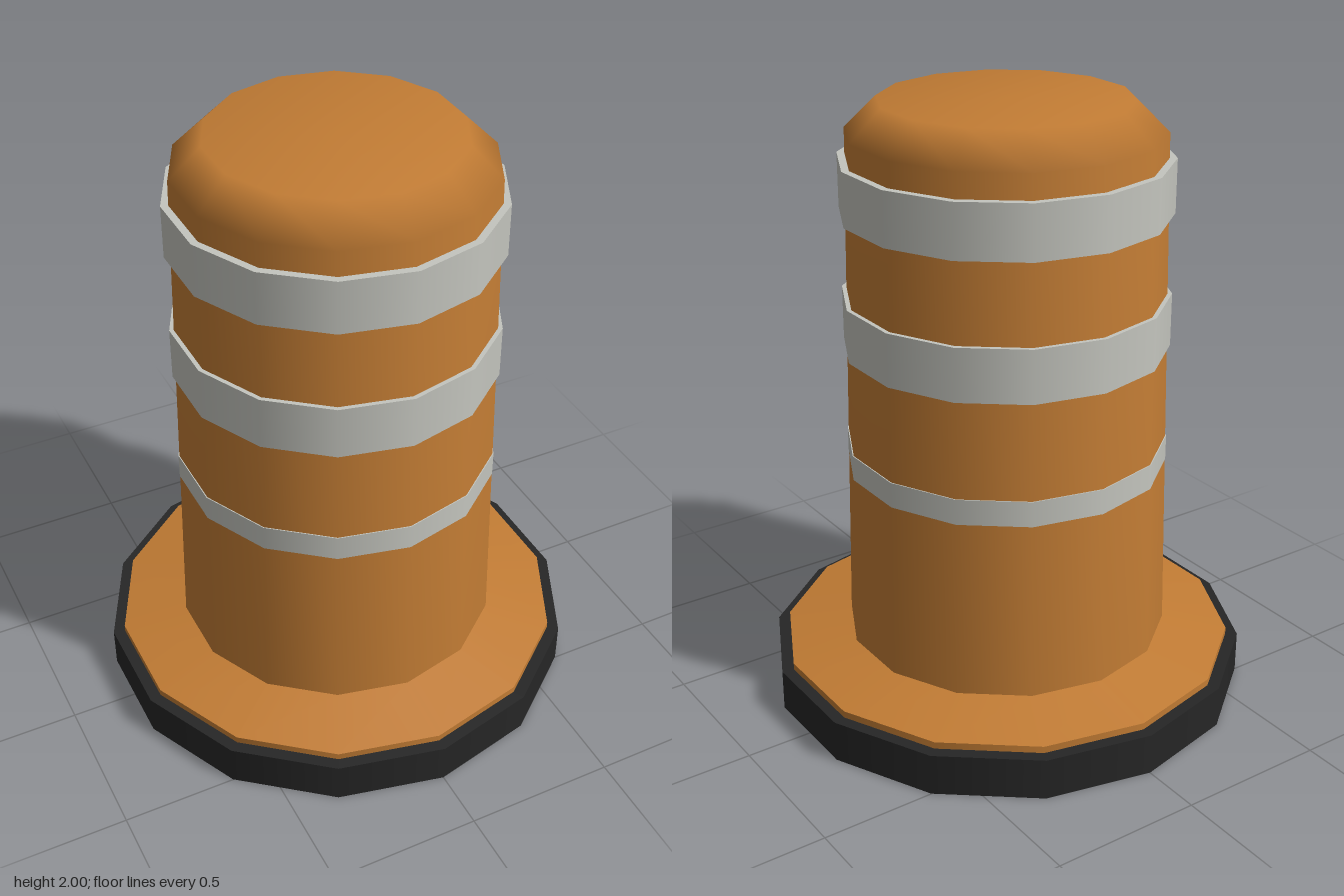
import * as THREE from 'three';

const SIDES = 14;

export function createModel() {
  const group = new THREE.Group();
  group.name = 'trafficBarrel';

  const material = (name, color) => {
    const m = new THREE.MeshStandardMaterial({ color });
    m.name = name;
    return m;
  };
  const orange = material('orange plastic', 0xc27c34);
  const grey = material('reflective grey', 0xc4c5be);
  const black = material('black rubber', 0x262626);

  const add = (name, geometry, mat, y = 0) => {
    const mesh = new THREE.Mesh(geometry, mat);
    mesh.name = name;
    mesh.position.y = y;
    group.add(mesh);
  };
  // Faceted drum section spanning two heights
  const drum = (name, rTop, rBottom, y0, y1, mat) =>
    add(name, new THREE.CylinderGeometry(rTop, rBottom, y1 - y0, SIDES), mat, (y0 + y1) / 2);

  // Heavy base ring and the sloped flange above it
  drum('rubberBase', 0.8, 0.8, 0, 0.14, black);
  drum('flangeRim', 0.76, 0.76, 0.13, 0.163, orange);
  drum('flangeSlope', 0.54, 0.76, 0.163, 0.203, orange);

  // Tapered body with a softly shaded, chamfered top
  const profile = [[0.54, 0.2], [0.502, 1.9], [0.4, 2], [0, 2]]
    .map(([r, y]) => new THREE.Vector2(r, y));
  add('body', new THREE.LatheGeometry(profile, SIDES), orange);

  // Reflective bands
  [[0.8, 0.885], [1.205, 1.38], [1.645, 1.82]].forEach(([y0, y1], i) =>
    drum(`reflectiveBand${i + 1}`, 0.528, 0.528, y0, y1, grey));

  return group;
}
